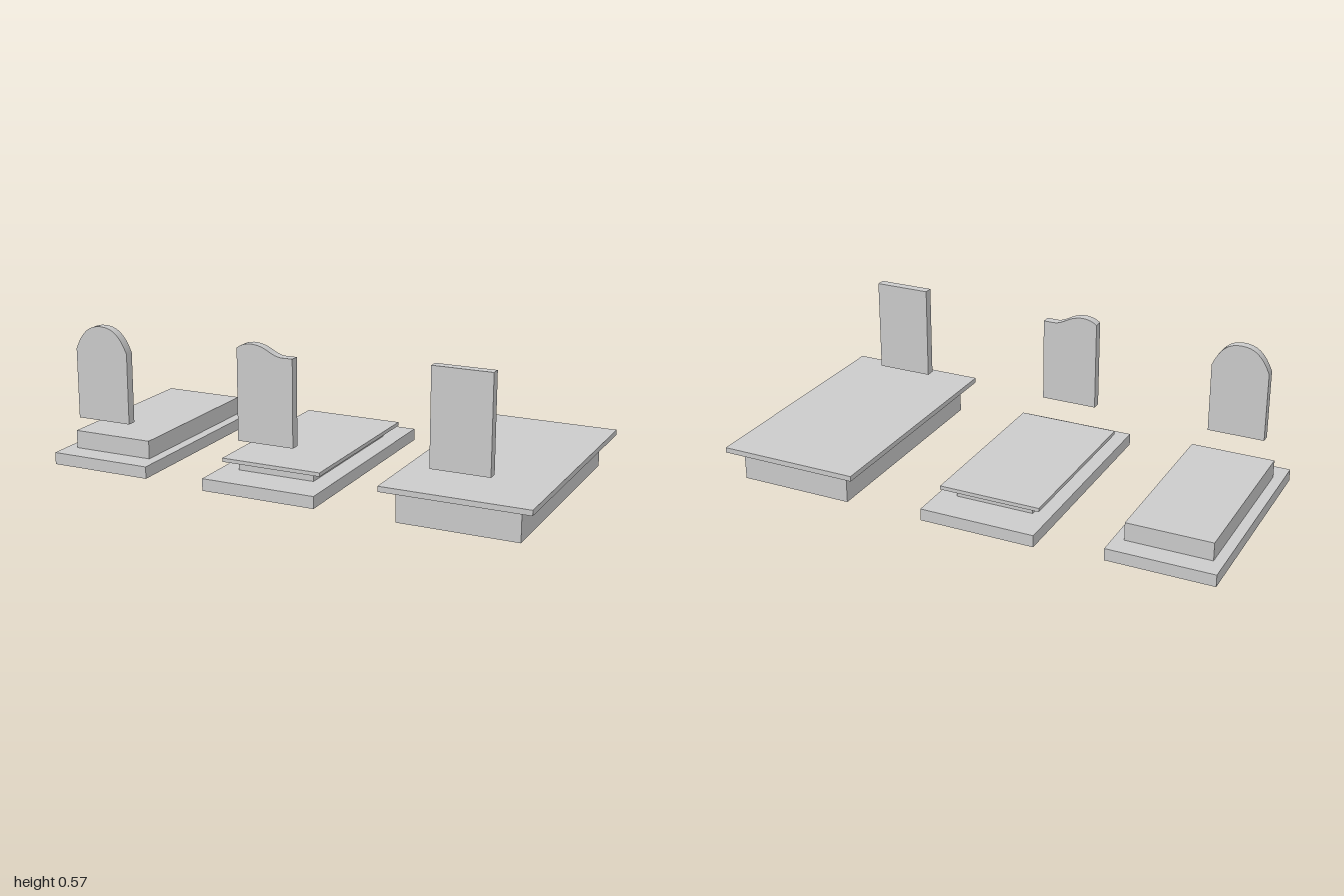
import * as THREE from 'three';
import { toCreasedNormals } from 'three/addons/utils/BufferGeometryUtils.js';

const grey = new THREE.MeshStandardMaterial({ color: 0xcccccc });

// Box given by its extents on each axis
function slab(name, [x0, x1], [y0, y1], [z0, z1]) {
  const mesh = new THREE.Mesh(new THREE.BoxGeometry(x1 - x0, y1 - y0, z1 - z0), grey);
  mesh.position.set((x0 + x1) / 2, (y0 + y1) / 2, (z0 + z1) / 2);
  mesh.name = name;
  return mesh;
}

// Upright stone: square foot, sides, and a top edge drawn from left to right
const HALF = 0.115, FOOT = 0.192, BACK = 0.36, THICK = 0.037;
function headstone(name, x, drawTop) {
  const shape = new THREE.Shape();
  shape.moveTo(HALF, FOOT);
  shape.lineTo(-HALF, FOOT);
  drawTop(shape);
  shape.closePath();
  const geo = new THREE.ExtrudeGeometry(shape, { depth: THICK, bevelEnabled: false, curveSegments: 8 });
  const mesh = new THREE.Mesh(toCreasedNormals(geo, 0.5), grey);
  mesh.position.set(x, 0, BACK);
  mesh.name = name;
  return mesh;
}

function grave(name, ...parts) {
  const group = new THREE.Group();
  group.name = name;
  group.add(...parts);
  return group;
}

export function createModel() {
  const model = new THREE.Group();
  model.name = 'graves';

  // Stepped grave with a rounded stone
  model.add(grave('archedGrave',
    slab('base', [-1, -0.578], [0, 0.048], [-0.447, 0.446]),
    slab('upperBlock', [-0.958, -0.62], [0.048, 0.12], [-0.36, 0.354]),
    headstone('archedHeadstone', -0.794, s => {
      s.lineTo(-HALF, 0.472);
      s.bezierCurveTo(-0.085, 0.545, -0.05, 0.569, 0, 0.569);
      s.bezierCurveTo(0.05, 0.569, 0.085, 0.545, HALF, 0.472);
    })));

  // Low grave with a thin cover and a wavy stone
  model.add(grave('wavyGrave',
    slab('base', [-0.311, 0.156], [0, 0.048], [-0.474, 0.472]),
    slab('plinth', [-0.238, 0.081], [0.048, 0.087], [-0.323, 0.32]),
    slab('cover', [-0.284, 0.128], [0.087, 0.102], [-0.368, 0.365]),
    headstone('wavyHeadstone', -0.08, s => {
      s.lineTo(-HALF, 0.55);
      s.bezierCurveTo(-0.085, 0.575, -0.04, 0.575, 0, 0.558);
      s.bezierCurveTo(0.035, 0.54, 0.05, 0.528, 0.085, 0.531);
      s.lineTo(HALF, 0.531);
    })));

  // Raised tomb with an overhanging cover and a square stone
  model.add(grave('squareGrave',
    slab('base', [0.48, 0.947], [0, 0.122], [-0.471, 0.471]),
    slab('cover', [0.43, 1], [0.122, 0.143], [-0.518, 0.518]),
    headstone('squareHeadstone', 0.691, s => {
      s.lineTo(-HALF, 0.569);
      s.lineTo(HALF, 0.569);
    })));

  return model;
}
